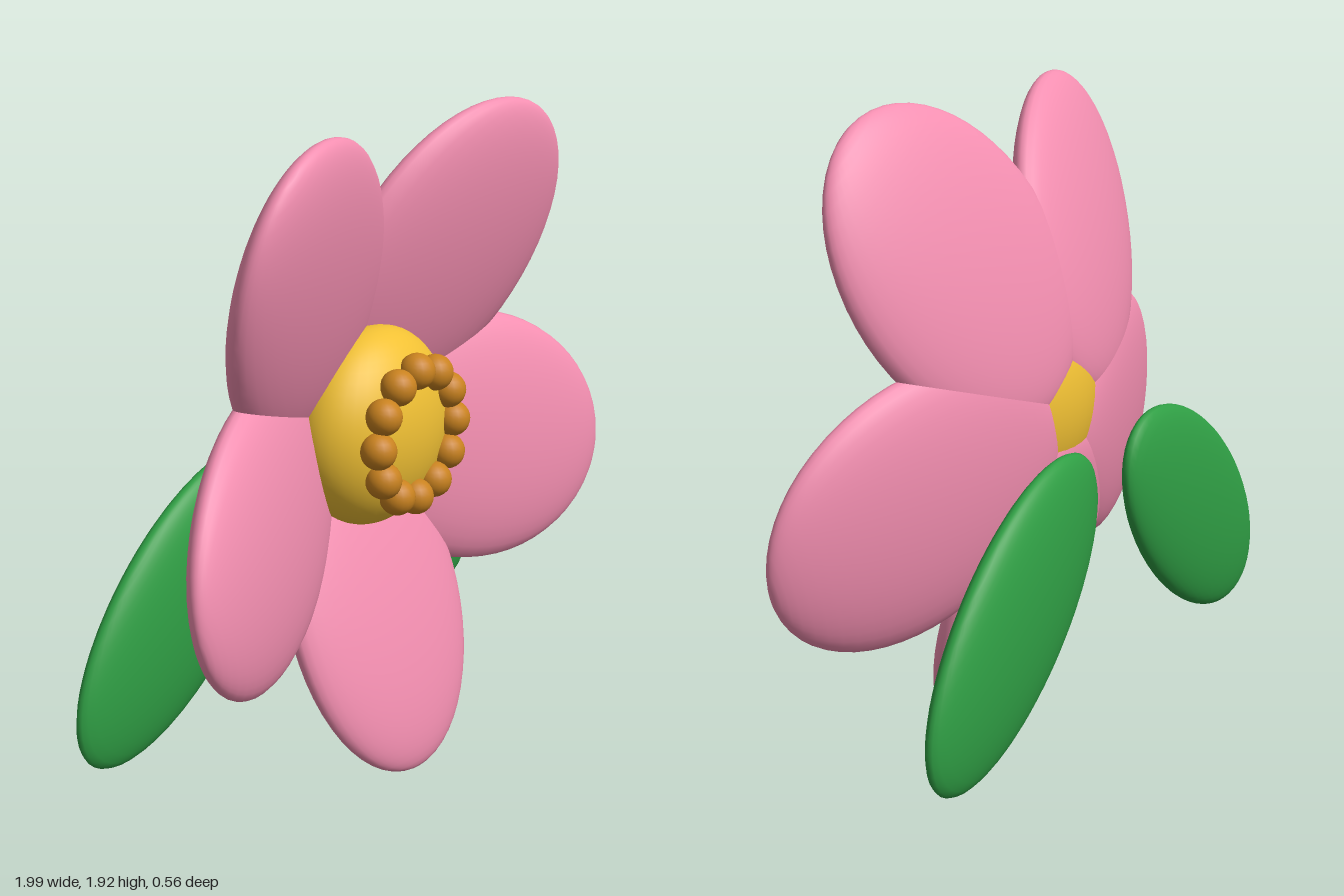
import * as THREE from 'three';

const mat = (color) => new THREE.MeshStandardMaterial({ color });

// Ellipsoid: a unit sphere stretched to the given half sizes
function ellipsoid(name, material, rx, ry, rz, w = 40, h = 28) {
  const geometry = new THREE.SphereGeometry(1, w, h);
  geometry.scale(rx, ry, rz);
  const mesh = new THREE.Mesh(geometry, material);
  mesh.name = name;
  return mesh;
}

export function createModel() {
  const model = new THREE.Group();
  model.name = 'flower';
  const pink = mat(0xf48fb1);
  const yellow = mat(0xf0c034);
  const orange = mat(0xc9821f);
  const green = mat(0x2f9e44);

  const head = new THREE.Group();
  head.name = 'flowerHead';
  head.position.y = 1.04;
  model.add(head);

  // Five petals, tips leaning forward, one pointing straight down
  for (let i = 0; i < 5; i++) {
    const pivot = new THREE.Group();
    pivot.name = 'petal' + (i + 1);
    pivot.rotation.z = Math.PI + (i * Math.PI * 2) / 5;
    const petal = ellipsoid('petalBlade', pink, 0.385, 0.505, 0.1);
    petal.position.set(0, 0.55, 0.097);
    petal.rotation.x = 0.325;
    pivot.add(petal);
    head.add(pivot);
  }

  // Domed centre
  const centre = ellipsoid('centre', yellow, 0.29, 0.29, 0.18);
  centre.position.z = 0.077;
  head.add(centre);

  // Ring of stamens
  for (let i = 0; i < 12; i++) {
    const a = (i * Math.PI) / 6;
    const stamen = ellipsoid('stamen' + (i + 1), orange, 0.052, 0.052, 0.052, 20, 14);
    stamen.position.set(Math.sin(a) * 0.185, Math.cos(a) * 0.185, 0.231);
    head.add(stamen);
  }

  // Mirrored pair of leaves behind the petals
  for (const side of [1, -1]) {
    const leaf = ellipsoid(side > 0 ? 'leftLeaf' : 'rightLeaf', green, 0.52, 0.261, 0.075);
    leaf.position.set(side * 0.525, 0.6, -0.205);
    leaf.rotation.z = -side * 0.7;
    model.add(leaf);
  }

  return model;
}
